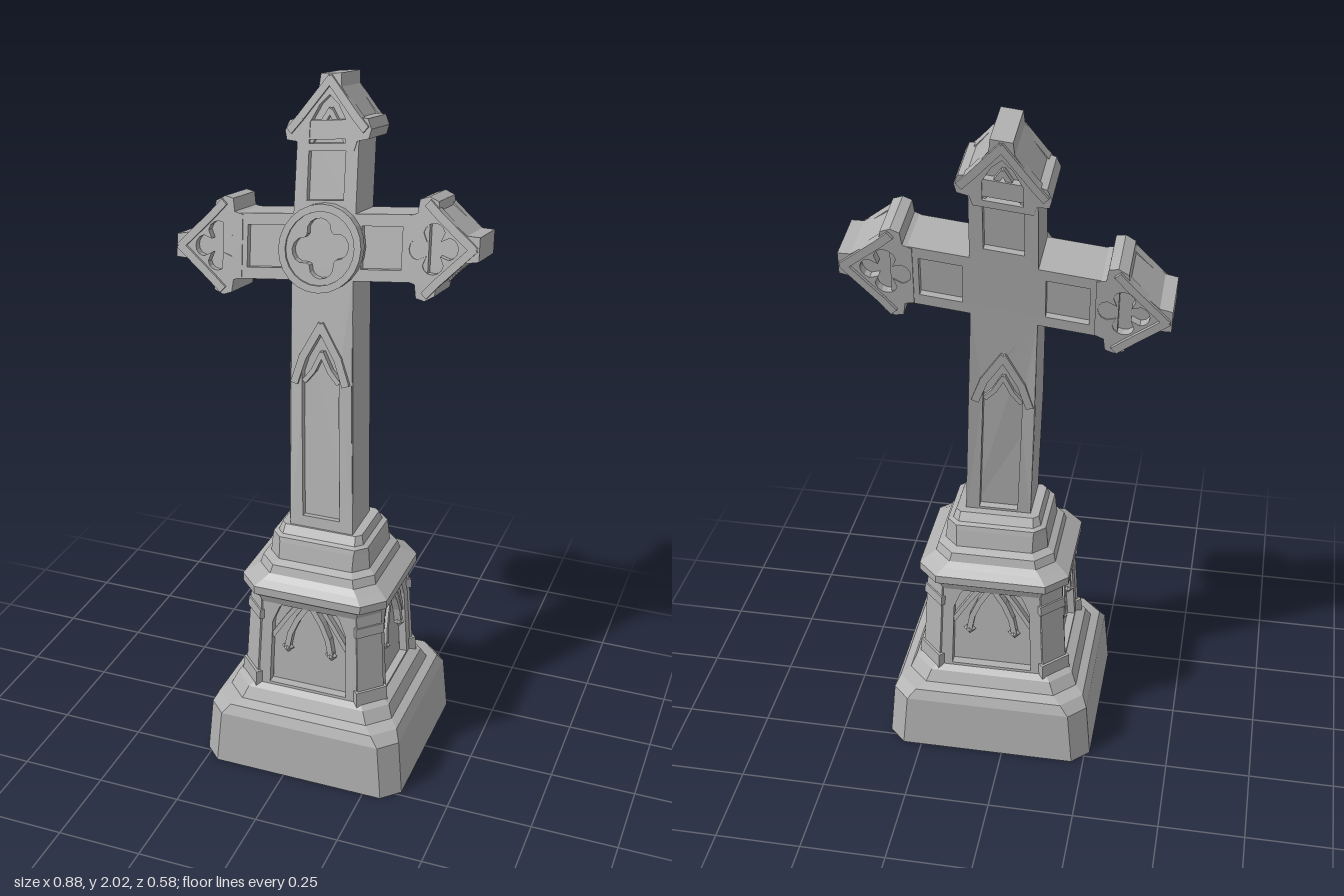
import * as THREE from 'three';
import { mergeGeometries } from 'three/addons/utils/BufferGeometryUtils.js';

const stone = new THREE.MeshStandardMaterial({ color: 0xb0b0b0 });
const V = (x, y) => new THREE.Vector2(x, y);

// Moves every vertex by a rule and gives flat faces
function warp(geo, rule) {
  const g = geo.index ? geo.toNonIndexed() : geo;
  const p = g.attributes.position, v = new THREE.Vector3();
  for (let i = 0; i < p.count; i++) {
    rule(v.fromBufferAttribute(p, i));
    p.setXYZ(i, v.x, v.y, v.z);
  }
  g.computeVertexNormals();
  return g;
}

function addMesh(group, name, geo) {
  const m = new THREE.Mesh(geo, stone);
  m.name = name;
  group.add(m);
  return m;
}

// Extruded polygon with holes, centred on z = 0
function slab(points, depth, holes = []) {
  const s = new THREE.Shape(points.map(([x, y]) => V(x, y)));
  for (const h of holes) s.holes.push(new THREE.Path(h.map(([x, y]) => V(x, y))));
  return new THREE.ExtrudeGeometry(s, { depth, bevelEnabled: false, curveSegments: 8 }).translate(0, 0, -depth / 2);
}

const mirrored = half => [...half, ...half.filter(p => p[0] !== 0).reverse().map(([x, y]) => [-x, y])];
const rect = (x0, x1, y0, y1) => [[x0, y0], [x1, y0], [x1, y1], [x0, y1]];

// Lobed opening
function foil(cx, cy, r, lobes, turn = 0, n = 32) {
  return Array.from({ length: n }, (_, i) => {
    const a = (i / n) * Math.PI * 2;
    const d = r * (0.4 + 0.6 * Math.sqrt(Math.abs(Math.cos((lobes * (a - turn)) / 2))));
    return [cx + d * Math.cos(a), cy + d * Math.sin(a)];
  });
}

// Chamfered rectangle rings [y, halfX, halfZ, chamfer] joined into a solid
function loft(rings) {
  const pos = [];
  const ring = ([y, a, b, c]) => [[a, b - c], [a - c, b], [c - a, b], [-a, b - c], [-a, c - b], [c - a, -b], [a - c, -b], [a, c - b]]
    .map(([x, z]) => [x, y, z]);
  const all = rings.map(ring), last = all.length - 1;
  for (let i = 0; i < 8; i++) {
    const j = (i + 1) % 8;
    for (let k = 0; k < last; k++) {
      const b = all[k], t = all[k + 1];
      pos.push(...b[i], ...t[i], ...t[j], ...b[i], ...t[j], ...b[j]);
    }
    pos.push(0, rings[0][0], 0, ...all[0][i], ...all[0][j]);
    pos.push(0, rings[last][0], 0, ...all[last][j], ...all[last][i]);
  }
  const g = new THREE.BufferGeometry();
  g.setAttribute('position', new THREE.Float32BufferAttribute(pos, 3));
  g.computeVertexNormals();
  return g;
}

// Narrow raised rib following points in the xy plane
function rib(points, width, depth) {
  const parts = [];
  for (let i = 0; i < points.length - 1; i++) {
    const [x0, y0] = points[i], [x1, y1] = points[i + 1];
    const dx = x1 - x0, dy = y1 - y0, len = Math.hypot(dx, dy);
    parts.push(new THREE.BoxGeometry(len + width * 0.5, width, depth)
      .rotateZ(Math.atan2(dy, dx)).translate((x0 + x1) / 2, (y0 + y1) / 2, 0));
  }
  return mergeGeometries(parts);
}

function makePedestal() {
  const g = new THREE.Group();
  g.name = 'pedestal';
  addMesh(g, 'plinth', loft([
    [0, 0.31, 0.283, 0.05], [0.17, 0.295, 0.275, 0.05], [0.2, 0.28, 0.262, 0.06],
    [0.21, 0.255, 0.232, 0.06], [0.245, 0.24, 0.215, 0.06], [0.26, 0.21, 0.19, 0.05]]));
  addMesh(g, 'cornice', loft([
    [0.53, 0.195, 0.18, 0.05], [0.555, 0.205, 0.19, 0.055], [0.565, 0.222, 0.202, 0.06], [0.59, 0.222, 0.202, 0.06],
    [0.605, 0.2, 0.18, 0.055], [0.62, 0.178, 0.163, 0.05], [0.645, 0.172, 0.155, 0.05],
    [0.655, 0.152, 0.132, 0.04], [0.705, 0.148, 0.122, 0.035], [0.72, 0.145, 0.118, 0.03],
    [0.725, 0.13, 0.105, 0.02], [0.75, 0.122, 0.09, 0.015]]));

  // Body narrows towards the top
  const taper = v => { const k = 1 - 0.27 * (v.y - 0.25); v.x *= k; v.z *= k; };
  addMesh(g, 'bodyCore', warp(loft([[0.22, 0.19, 0.17, 0.02], [0.56, 0.19, 0.17, 0.02]]), taper));
  for (let i = 0; i < 4; i++) {
    const onX = i % 2 === 1, reach = onX ? 0.213 : 0.196, w = onX ? 0.135 : 0.155, a = w - 0.035;
    const place = geo => warp(geo.translate(0, 0, reach).rotateY((i * Math.PI) / 2), taper);
    addMesh(g, 'panelFrame', place(slab(rect(-w, w, 0.23, 0.56), 0.036,
      [mirrored([[a, 0.265], [a, 0.47], [a - 0.02, 0.52], [a - 0.035, 0.54]])]).translate(0, 0, -0.018)));
    // Pointed tracery with small drops
    for (const s of [-1, 1]) {
      addMesh(g, 'archRib', place(rib([[0, 0.55], [s * 0.04, 0.49], [s * 0.062, 0.44], [s * 0.07, 0.395]], 0.017, 0.03)
        .translate(0, 0, -0.016)));
      addMesh(g, 'sideRib', place(rib([[s * 0.03, 0.55], [s * 0.075, 0.49], [s * a, 0.42]], 0.014, 0.024)
        .translate(0, 0, -0.018)));
      addMesh(g, 'archDrop', place(new THREE.OctahedronGeometry(0.02).translate(s * 0.07, 0.39, -0.012)));
    }
  }
  // Corner buttresses
  for (const sx of [-1, 1]) for (const sz of [-1, 1]) {
    const geo = mergeGeometries([
      new THREE.BoxGeometry(0.085, 0.32, 0.06).translate(0, 0.39, 0),
      new THREE.BoxGeometry(0.1, 0.06, 0.075).translate(0, 0.265, 0),
      new THREE.BoxGeometry(0.095, 0.03, 0.07).translate(0, 0.49, 0)]);
    geo.rotateY(sx * sz * Math.PI / 4).translate(sx * 0.168, 0, sz * 0.148);
    addMesh(g, 'cornerButtress', warp(geo, taper));
  }
  g.position.set(0.045, 0, 0.003);
  return g;
}

function makeCross() {
  const g = new THREE.Group();
  g.name = 'cross';
  const cy = 1.545;
  // Leaning, slightly bent stance with uneven arms
  const lean = v => {
    const t = v.y - 0.75, x = v.x;
    v.x += 0.045 - 0.07 * t + 0.02 * t * t;
    v.y += 0.11 * x * Math.min(1, Math.max(0, t / 0.7)) + 0.17 * v.z;
    v.z += 0.0125 - 0.13 * t - 0.04 * t * t;
  };
  const add = (name, geo) => addMesh(g, name, warp(geo, lean));
  const outline = d => mirrored([
    [0.096 - d, 0.73], [0.093 - d, 1.1], [0.09 - d, cy - 0.09 + d], [0.3, cy - 0.09 + d], [0.3, cy + 0.09 - d],
    [0.09 - d, cy + 0.09 - d], [0.088 - d, 1.88]]);

  // Front and back frame with sunken panels
  add('crossFrame', slab(outline(0), 0.146, [
    mirrored([[0.056, 0.77], [0.055, 1.1], [0.055, 1.2], [0.035, 1.27], [0, 1.32]]),
    rect(-0.053, 0.053, cy + 0.125, 1.83),
    rect(0.11, 0.225, cy - 0.058, cy + 0.058),
    rect(-0.225, -0.11, cy - 0.058, cy + 0.058)]));
  add('crossCore', slab(outline(0.012), 0.106));

  // Hood moulding over the shaft panel, front and back
  for (const z of [-0.066, 0.066]) {
    const hood = [[-0.075, 1.17], [-0.052, 1.24], [0, 1.33], [0.052, 1.24], [0.075, 1.17]];
    add('shaftHood', rib(hood, 0.022, 0.03).translate(0, 0, z));
    add('shaftCusp', rib([[-0.05, 1.17], [-0.025, 1.2], [0, 1.25], [0.025, 1.2], [0.05, 1.17]], 0.014, 0.02)
      .translate(0, 0, z * 0.88));
  }

  // Gabled ends: [turn, distance from the middle, width scale, opening]
  const gable = mirrored([[0.086, 0], [0.094, 0.025], [0.13, 0.03], [0.137, 0.055], [0.124, 0.082],
    [0.1, 0.086], [0.036, 0.165], [0.032, 0.2]]);
  const ends = [
    ['topGable', 0, 0.255, 0.9, mirrored([[0.058, 0.02], [0.058, 0.075], [0.03, 0.12], [0, 0.145]])],
    ['leftGable', -Math.PI / 2, 0.24, 1, foil(0, 0.074, 0.068, 4, Math.PI / 2)],
    ['rightGable', Math.PI / 2, 0.24, 1, foil(0, 0.074, 0.068, 4, Math.PI / 2)]];
  for (const [name, turn, dist, w, hole] of ends) {
    const place = geo => geo.scale(w, 1, 1).translate(0, dist, 0).rotateZ(turn).translate(0, cy, 0);
    add(name, place(slab(gable, 0.152, [hole])));
    add(name + 'Floor', place(slab(mirrored([[0.08, 0.005], [0.08, 0.09], [0.02, 0.16]]), 0.104)));
    for (const z of [-0.07, 0.07]) for (const s of [-1, 1])
      add(name + 'Edge', place(rib([[s * 0.118, 0.058], [s * 0.088, 0.088], [0, 0.185]], 0.022, 0.03).translate(0, 0, z)));
  }
  // Inner arch in the top gable
  for (const z of [-0.058, 0.058])
    add('topTracery', rib([[-0.05, cy + 0.28], [-0.025, cy + 0.32], [0, cy + 0.36], [0.025, cy + 0.32], [0.05, cy + 0.28]], 0.014, 0.02)
      .translate(0, 0, z));

  // Round boss on the front with a four-lobed opening
  const circle = r => foil(0, cy, r, 0, 0, 24);
  add('bossRing', slab(circle(0.118), 0.04, [foil(0, cy, 0.082, 4, 0.1)]).translate(0, 0, 0.078));
  add('bossRim', slab(circle(0.12), 0.03, [circle(0.1)]).translate(0, 0, 0.09));
  return g;
}

export function createModel() {
  const model = new THREE.Group();
  model.name = 'graveCross';
  model.add(makePedestal(), makeCross());
  return model;
}
